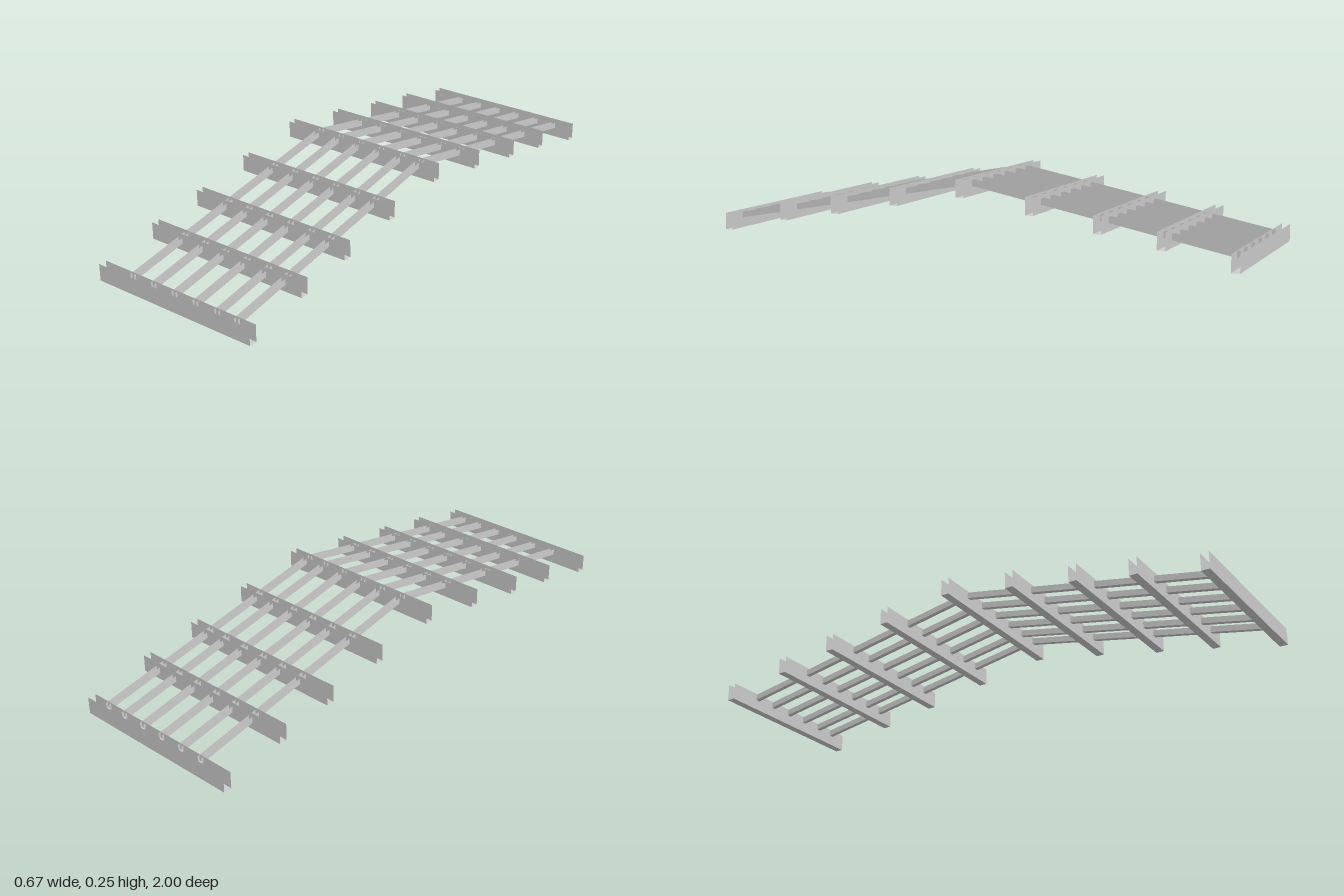
import * as THREE from 'three';

const material = new THREE.MeshStandardMaterial({ color: 0xcccccc, flatShading: true, side: THREE.DoubleSide });

// Thin open channel: a box keeping only its bottom and two long sides, resting on y = 0
function channel(width, height, depth, alongX) {
  const box = new THREE.BoxGeometry(width, height, depth);
  box.translate(0, height / 2, 0);
  const faces = alongX ? [3, 4, 5] : [3, 0, 1]; // box faces: +x -x +y -y +z -z
  const source = Array.from(box.index.array);
  box.setIndex(faces.flatMap((f) => source.slice(f * 6, f * 6 + 6)));
  box.clearGroups();
  return box;
}

export function createModel() {
  const model = new THREE.Group();
  const add = (name, geometry, x, y, z) => {
    const mesh = new THREE.Mesh(geometry, material);
    mesh.name = name;
    mesh.position.set(x, y, z);
    model.add(mesh);
    return mesh;
  };

  // Cross beams: [distance from ridge, underside height], mirrored front to back
  const beamHeight = 0.063;
  const beam = channel(0.665, beamHeight, 0.03, true);
  add('ridgeBeam', beam, 0, 0.182, 0);
  const rows = [[0.265, 0.1375], [0.513, 0.0915], [0.736, 0.053], [0.985, 0]];

  // Sloping rafters, running from the ridge down to the end beams
  const high = { z: 0.005, y: 0.219 };
  const low = { z: 0.975, y: 0.037 };
  const run = low.z - high.z;
  const drop = high.y - low.y;
  const rafter = channel(0.017, 0.022, Math.hypot(run, drop), false);
  const rafterX = [-0.199, -0.105, -0.011, 0.082, 0.175, 0.258];

  for (const side of [1, -1]) {
    const label = side > 0 ? 'front' : 'back';
    rows.forEach(([z, y], i) => add(`${label}CrossBeam${i + 1}`, beam, 0, y, side * z));
    rafterX.forEach((x, i) => {
      const mesh = add(`${label}Rafter${i + 1}`, rafter, x, (high.y + low.y) / 2, side * (high.z + low.z) / 2);
      mesh.rotation.x = side * Math.atan2(drop, run);
    });
  }
  return model;
}
